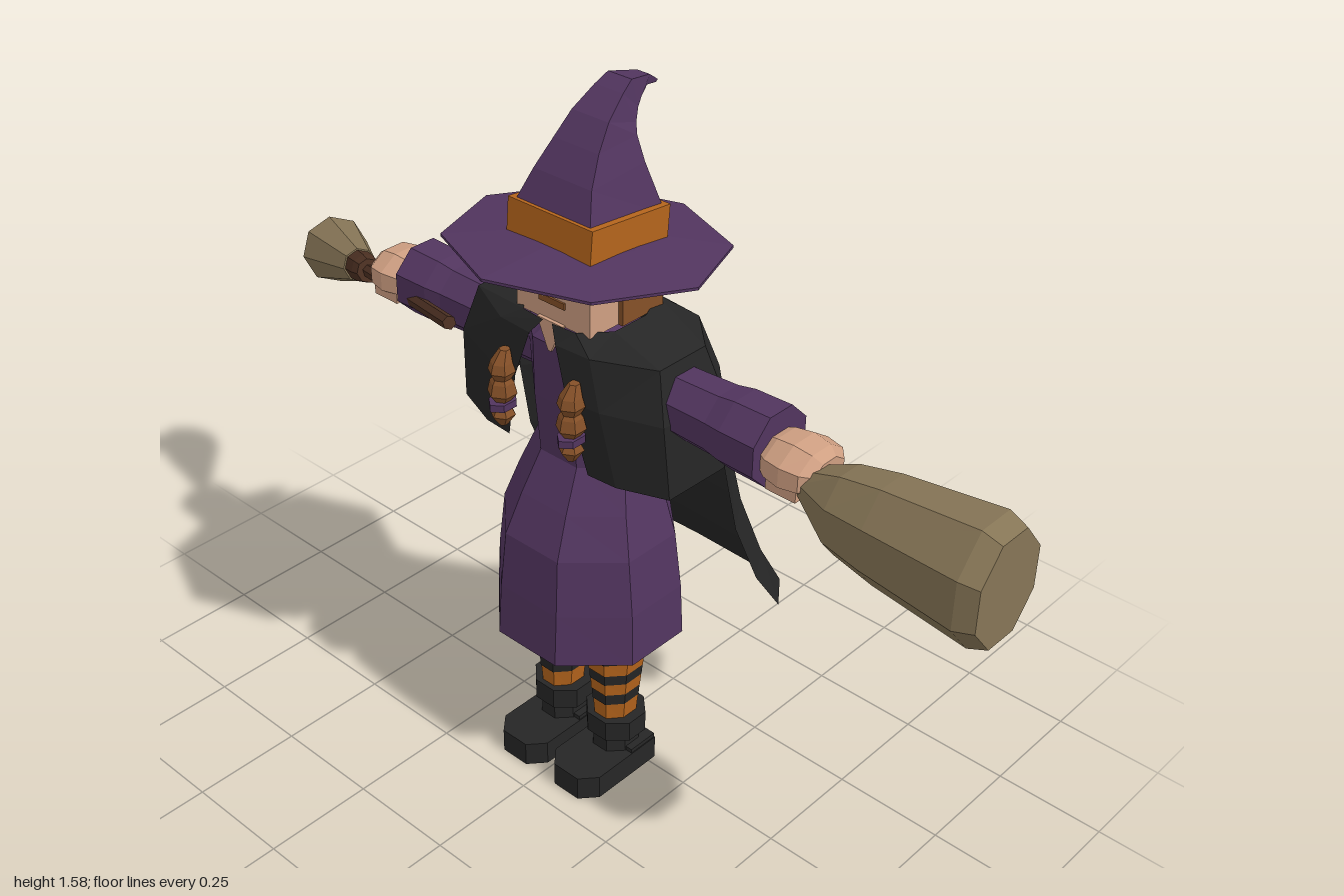
import * as THREE from 'three';

const mat = (name, color, open) => new THREE.MeshStandardMaterial({
  name, color, flatShading: true, side: open ? THREE.DoubleSide : THREE.FrontSide });

const M = {
  purple: mat('purple cloth', 0x52355f),
  black: mat('black cloth', 0x262626, true),
  orange: mat('orange', 0xb4641c),
  hair: mat('brown hair', 0x855028),
  skin: mat('skin', 0xcf9f82),
  straw: mat('straw', 0x867556),
  wood: mat('dark wood', 0x4c3022),
  dark: mat('dark face detail', 0x2a2020),
};

// Joins rings of [x, y, z] points; closed rings also get end caps
function skin(rings, closed = true) {
  const v = [];
  const n = rings[0].length;
  for (let i = 0; i < rings.length - 1; i++) {
    for (let j = 0; j < (closed ? n : n - 1); j++) {
      const k = (j + 1) % n;
      const [a, b, c, d] = [rings[i][j], rings[i + 1][j], rings[i + 1][k], rings[i][k]];
      v.push(...a, ...b, ...c, ...a, ...c, ...d);
    }
  }
  if (closed) {
    [rings[0], rings[rings.length - 1]].forEach((r, top) => {
      const mid = [0, 1, 2].map(q => r.reduce((s, p) => s + p[q], 0) / n);
      r.forEach((p, j) => {
        const next = r[(j + 1) % n];
        v.push(...mid, ...(top ? next : p), ...(top ? p : next));
      });
    });
  }
  const g = new THREE.BufferGeometry();
  g.setAttribute('position', new THREE.Float32BufferAttribute(v, 3));
  g.computeVertexNormals();
  return g;
}

// Sections [y, rx, rz, cx, cz] with flat sides facing the axes
function loft(sections, n = 8) {
  const f = 1 / Math.cos(Math.PI / n);
  return skin(sections.map(([y, rx, rz = rx, cx = 0, cz = 0]) =>
    Array.from({ length: n }, (_, j) => {
      const a = (j + 0.5) / n * Math.PI * 2;
      return [cx + Math.cos(a) * rx * f, y, cz + Math.sin(a) * rz * f];
    })));
}

function add(parent, name, geo, material, x = 0, y = 0, z = 0) {
  const m = new THREE.Mesh(geo, material);
  m.name = name;
  m.position.set(x, y, z);
  parent.add(m);
  return m;
}
const box = (w, h, d) => new THREE.BoxGeometry(w, h, d);

function addLeg(root, s, side) {
  const leg = new THREE.Group();
  leg.name = side + 'Leg';
  leg.position.x = s * 0.08;
  root.add(leg);
  // Striped stocking
  const ys = [0.14, 0.193, 0.222, 0.253, 0.28, 0.312, 0.338, 0.37, 0.4];
  const r = y => 0.041 + (y - 0.14) * 0.1;
  for (let i = 0; i < ys.length - 1; i++) {
    const [a, b] = [ys[i], ys[i + 1]];
    add(leg, 'stockingStripe', loft([[a, r(a), r(a) + 0.008, 0, 0.037], [b, r(b), r(b) + 0.006, 0, 0.037]]),
      i % 2 ? M.black : M.orange);
  }
  // Boot
  add(leg, 'bootCuff', loft([[0.1, 0.065, 0.062, 0, 0.037], [0.15, 0.065, 0.062, 0, 0.037]]), M.black);
  add(leg, 'bootAnkle', loft([[0.04, 0.05, 0.055, 0, 0.035], [0.11, 0.045, 0.05, 0, 0.037]]), M.black);
  const shape = new THREE.Shape([[-0.067, 0.02], [0.067, 0.02], [0.067, -0.16], [0.035, -0.197], [-0.035, -0.197], [-0.067, -0.16]]
    .map(p => new THREE.Vector2(...p)));
  const shoe = add(leg, 'shoe', new THREE.ExtrudeGeometry(shape, { depth: 0.058, bevelEnabled: false }), M.black);
  shoe.rotation.x = -Math.PI / 2;
  add(leg, 'shoeHeel', box(0.13, 0.068, 0.075), M.black, 0, 0.034, 0.018);
}

function addArm(root, s, side) {
  const arm = new THREE.Group();
  arm.name = side + 'Arm';
  arm.position.set(0, 1.015, 0.037);
  arm.rotation.z = -s * Math.PI / 2;
  root.add(arm);
  add(arm, 'sleeve', loft([[0.1, 0.06], [0.28, 0.065], [0.36, 0.068], [0.4, 0.075], [0.485, 0.077]]), M.purple);
  add(arm, 'hand', loft([[0.47, 0.035, 0.045], [0.5, 0.045, 0.065], [0.54, 0.05, 0.073],
    [0.58, 0.044, 0.066], [0.6, 0.03, 0.045]].map(p => [...p, s * 0.008])), M.skin);
  add(arm, 'thumb', box(0.035, 0.07, 0.035), M.skin, s * 0.035, 0.54, 0.045);
}

function addHat(root) {
  const hat = new THREE.Group();
  hat.name = 'hat';
  root.add(hat);
  // Tilted brim, thick in the middle and thin at the rim
  const brimRing = (r, dy) => Array.from({ length: 8 }, (_, j) => {
    const a = j / 8 * Math.PI * 2;
    const z = Math.sin(a) * r;
    return [Math.cos(a) * r, 1.268 + dy + z * 0.085, 0.038 + z];
  });
  add(hat, 'brim', skin([brimRing(0.12, -0.016), brimRing(0.28, -0.003), brimRing(0.28, 0.003), brimRing(0.12, 0.02)]), M.purple);
  const band = add(hat, 'hatBand', box(0.22, 0.075, 0.215), M.orange, 0, 1.315, 0.036);
  band.rotation.x = -0.09;
  // Square crown curling backwards: front z, y, back z, y, half width
  const crown = [
    [0.14, 1.34, -0.07, 1.32, 0.103], [0.105, 1.42, -0.04, 1.43, 0.075],
    [0.068, 1.475, -0.036, 1.48, 0.058], [0.03, 1.522, -0.045, 1.5, 0.047],
    [-0.02, 1.56, -0.062, 1.522, 0.036], [-0.05, 1.578, -0.078, 1.537, 0.03],
    [-0.115, 1.565, -0.108, 1.546, 0.016], [-0.153, 1.54, -0.148, 1.536, 0.003]];
  add(hat, 'hatCrown', skin(crown.map(([fz, fy, bz, by, w]) =>
    [[w, by, bz], [w, fy, fz], [-w, fy, fz], [-w, by, bz]])), M.purple);
}

function addHead(root) {
  const head = new THREE.Group();
  head.name = 'head';
  root.add(head);
  add(head, 'neck', loft([[1.06, 0.05, 0.05, 0, 0.04], [1.15, 0.05, 0.05, 0, 0.04]]), M.skin);
  add(head, 'face', box(0.196, 0.165, 0.17), M.skin, 0, 1.2125, 0.05);
  add(head, 'hair', box(0.218, 0.155, 0.115), M.hair, 0, 1.207, -0.002);
  add(head, 'nose', skin([[[0.02, 1.2, 0.13], [0, 1.198, 0.165], [-0.02, 1.2, 0.13]],
    [[0.003, 1.238, 0.13], [0, 1.238, 0.136], [-0.003, 1.238, 0.13]]]), M.skin);
  add(head, 'mouth', box(0.068, 0.014, 0.006), M.hair, 0, 1.176, 0.136);
  for (const s of [-1, 1]) {
    add(head, 'ear', box(0.012, 0.045, 0.04), M.skin, s * 0.107, 1.243, 0.035);
    add(head, 'eye', box(0.03, 0.02, 0.006), M.dark, s * 0.047, 1.247, 0.136);
    add(head, 'eyebrow', box(0.042, 0.008, 0.006), M.hair, s * 0.05, 1.268, 0.136);
    // Braid over the chest with a tie near its end
    const braid = new THREE.Group();
    braid.name = 'braid';
    braid.position.set(s * 0.095, 0, 0.185);
    root.add(braid);
    add(braid, 'braidStrand', loft([[0.935, 0.014], [0.955, 0.027], [0.98, 0.022], [0.988, 0.017],
      [1.005, 0.025], [1.025, 0.02], [1.05, 0.01, 0.01, 0, -0.01]], 6), M.hair);
    add(braid, 'braidTie', loft([[0.922, 0.022, 0.03], [0.938, 0.022, 0.03]], 6), M.purple);
    add(braid, 'braidEnd', loft([[0.88, 0.008], [0.905, 0.023], [0.924, 0.014]], 6), M.hair);
  }
}

function addCape(root) {
  // Half outlines [x, z] running from the front opening to the middle of the back
  const mantle = [
    [1.137, [[0.012, 0.15], [0.07, 0.145], [0.12, 0.09], [0.12, 0], [0.08, -0.075], [0, -0.085]]],
    [1.105, [[0.035, 0.165], [0.12, 0.16], [0.245, 0.1], [0.245, -0.03], [0.16, -0.11], [0, -0.115]]],
    [1.0, [[0.07, 0.172], [0.15, 0.165], [0.275, 0.12], [0.28, -0.05], [0.2, -0.13], [0, -0.14]]],
    [0.835, [[0.11, 0.155], [0.18, 0.15], [0.285, 0.11], [0.288, -0.05], [0.22, -0.14], [0, -0.155]]]];
  const tail = [
    [0.835, [[0.288, -0.05], [0.22, -0.14], [0, -0.155]]],
    [0.67, [[0.296, -0.085], [0.235, -0.175], [0, -0.185]]],
    [0.51, [[0.302, -0.155], [0.245, -0.24], [0, -0.25]]],
    [0.395, [[0.305, -0.235], [0.25, -0.308], [0, -0.315]]]];
  const full = rows => skin(rows.map(([y, p]) => [
    ...p.map(([x, z]) => [-x, y, z]), ...p.slice(0, -1).reverse().map(([x, z]) => [x, y, z])]), false);
  add(root, 'capeShoulders', full(mantle), M.black);
  add(root, 'capeBack', full(tail), M.black);
}

function addBrooms(root) {
  // Large broom held in the left hand
  const big = new THREE.Group();
  big.name = 'leftBroom';
  big.position.set(0, 0.97, 0.06);
  big.rotation.z = -Math.PI / 2;
  root.add(big);
  add(big, 'broomBristles', loft([[0.575, 0.03, 0.035, -0.02], [0.66, 0.085, 0.07], [0.75, 0.103, 0.083],
    [0.96, 0.125, 0.102], [1.0, 0.11, 0.09]]), M.straw);
  add(big, 'broomHandle', loft([[0.46, 0.015, 0.015, -0.02], [0.59, 0.015, 0.015, -0.02]], 6), M.wood);
  // Small broom slanting through the right hand
  const small = new THREE.Group();
  small.name = 'rightBroom';
  small.position.set(-0.74, 0.92, -0.01);
  small.quaternion.setFromUnitVectors(new THREE.Vector3(0, 1, 0), new THREE.Vector3(-0.485, -0.125, -0.185).normalize());
  root.add(small);
  add(small, 'broomHandle', loft([[-0.535, 0.013], [0.02, 0.013]], 6), M.wood);
  add(small, 'broomBinding', loft([[-0.025, 0.026], [0, 0.031], [0.045, 0.033]]), M.wood);
  add(small, 'broomBristles', loft([[0.04, 0.036], [0.11, 0.05], [0.225, 0.073], [0.262, 0.06]]), M.straw);
}

export function createModel() {
  const root = new THREE.Group();
  root.name = 'witch';
  for (const [s, side] of [[1, 'left'], [-1, 'right']]) {
    addLeg(root, s, side);
    addArm(root, s, side);
  }
  // Dress from hem to collar
  add(root, 'dress', loft([
    [0.378, 0.2, 0.19, 0, 0.038], [0.5, 0.195, 0.182, 0, 0.038], [0.63, 0.18, 0.17, 0, 0.038],
    [0.72, 0.152, 0.14, 0, 0.03], [0.81, 0.122, 0.11, 0, 0.015], [0.95, 0.12, 0.11, 0, 0.03],
    [1.08, 0.125, 0.1, 0, 0.04], [1.115, 0.07, 0.07, 0, 0.04]]), M.purple);
  add(root, 'neckline', skin([
    [[0.004, 1.07, 0.138], [0.004, 1.07, 0.146], [-0.004, 1.07, 0.146], [-0.004, 1.07, 0.138]],
    [[0.035, 1.135, 0.136], [0.035, 1.135, 0.144], [-0.035, 1.135, 0.144], [-0.035, 1.135, 0.136]]]), M.skin);
  addCape(root);
  addHead(root);
  addHat(root);
  addBrooms(root);
  return root;
}
